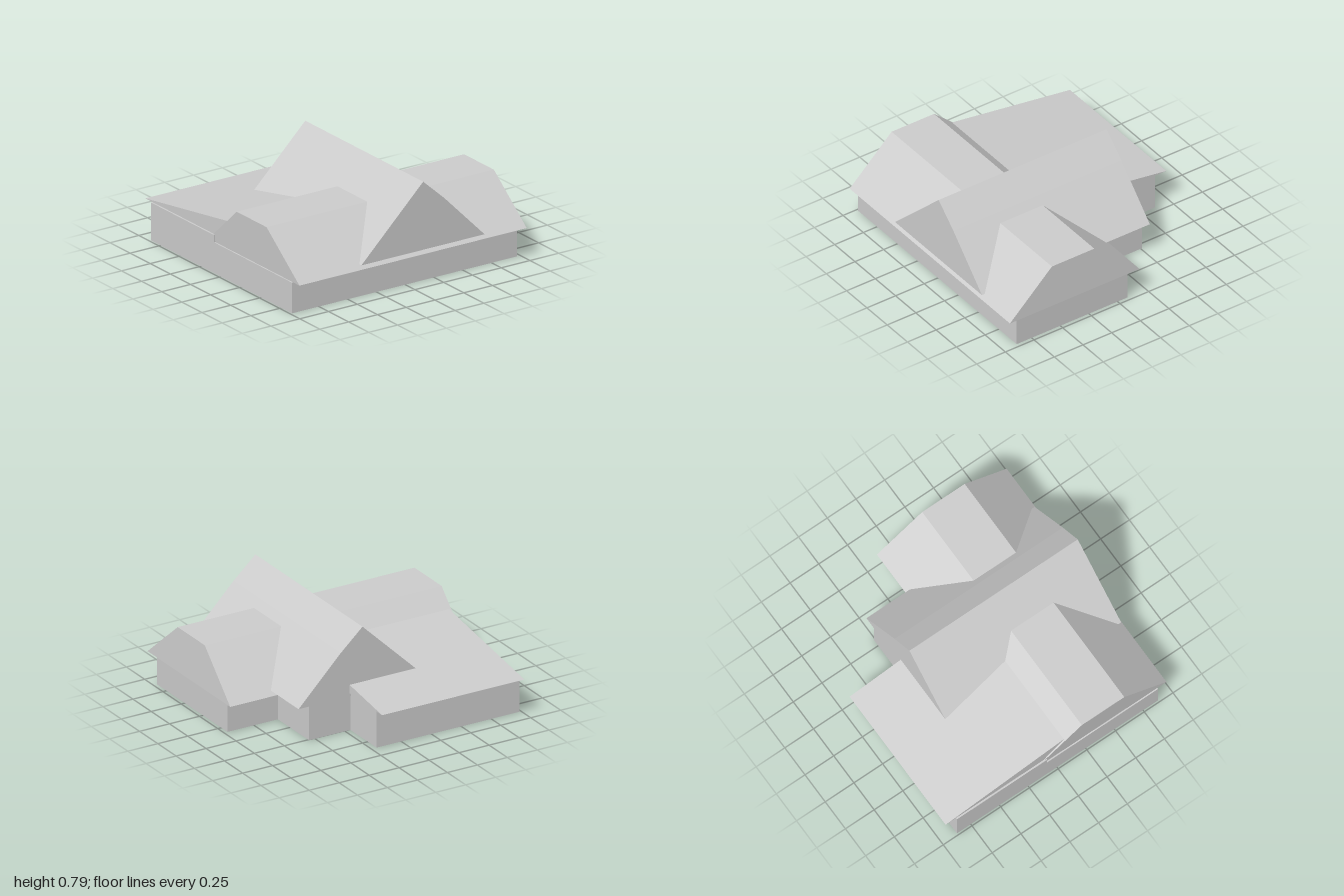
import * as THREE from 'three';

const material = new THREE.MeshStandardMaterial({ color: 0xcccccc, flatShading: true });

function addPart(group, name, geometry) {
  const mesh = new THREE.Mesh(geometry, material);
  mesh.name = name;
  group.add(mesh);
  return mesh;
}

const polygon = (points) => new THREE.Shape(points.map(([u, v]) => new THREE.Vector2(u, v)));

// Prism with an [x, y] profile running along z
function prismAlongZ(points, z0, z1) {
  return new THREE.ExtrudeGeometry(polygon(points), { depth: z1 - z0, bevelEnabled: false })
    .translate(0, 0, z0);
}

// Prism with a [z, y] profile running along x
function prismAlongX(points, x0, x1) {
  return prismAlongZ(points.map(([z, y]) => [-z, y]), x0, x1).rotateY(Math.PI / 2);
}

function block(x0, x1, z0, z1, height) {
  return new THREE.BoxGeometry(x1 - x0, height, z1 - z0)
    .translate((x0 + x1) / 2, height / 2, (z0 + z1) / 2);
}

export function createModel() {
  const house = new THREE.Group();
  house.name = 'house';

  // Walls: a wide front block and two stepped blocks behind it
  addPart(house, 'mainWalls', block(-0.985, 0.97, -0.085, 0.88, 0.235));
  addPart(house, 'rearWingWalls', block(-0.985, 0.205, -0.87, -0.085, 0.29));
  addPart(house, 'gableWingWalls', block(0.205, 0.55, -0.51, -0.085, 0.265));

  // Flat-topped main roof, its ends leaning slightly
  const eave = 0.235, top = 0.565;
  const mainRoof = prismAlongX([[0.96, eave], [0.58, top], [0.21, top], [-0.17, eave]], -1, 1);
  const position = mainRoof.attributes.position;
  for (let i = 0; i < position.count; i++) {
    const t = (position.getY(i) - eave) / (top - eave);
    const right = position.getX(i) > 0;
    position.setX(i, right ? 1 - 0.02 * t : -0.975 - 0.02 * t);
  }
  mainRoof.computeVertexNormals();
  addPart(house, 'mainRoof', mainRoof);

  // Shallow lean-to roof over the rear wing
  addPart(house, 'rearWingRoof',
    prismAlongX([[0.2, 0.29], [0.2, 0.46], [0.07, 0.443], [-0.96, 0.29]], -0.972, 0.215));

  // Tall cross gable with a slight break in its right slope
  addPart(house, 'crossGableRoof',
    prismAlongZ([[-0.43, 0.265], [0.64, 0.265], [0.29, 0.62], [0.107, 0.785]], -0.515, 0.95));

  return house;
}
